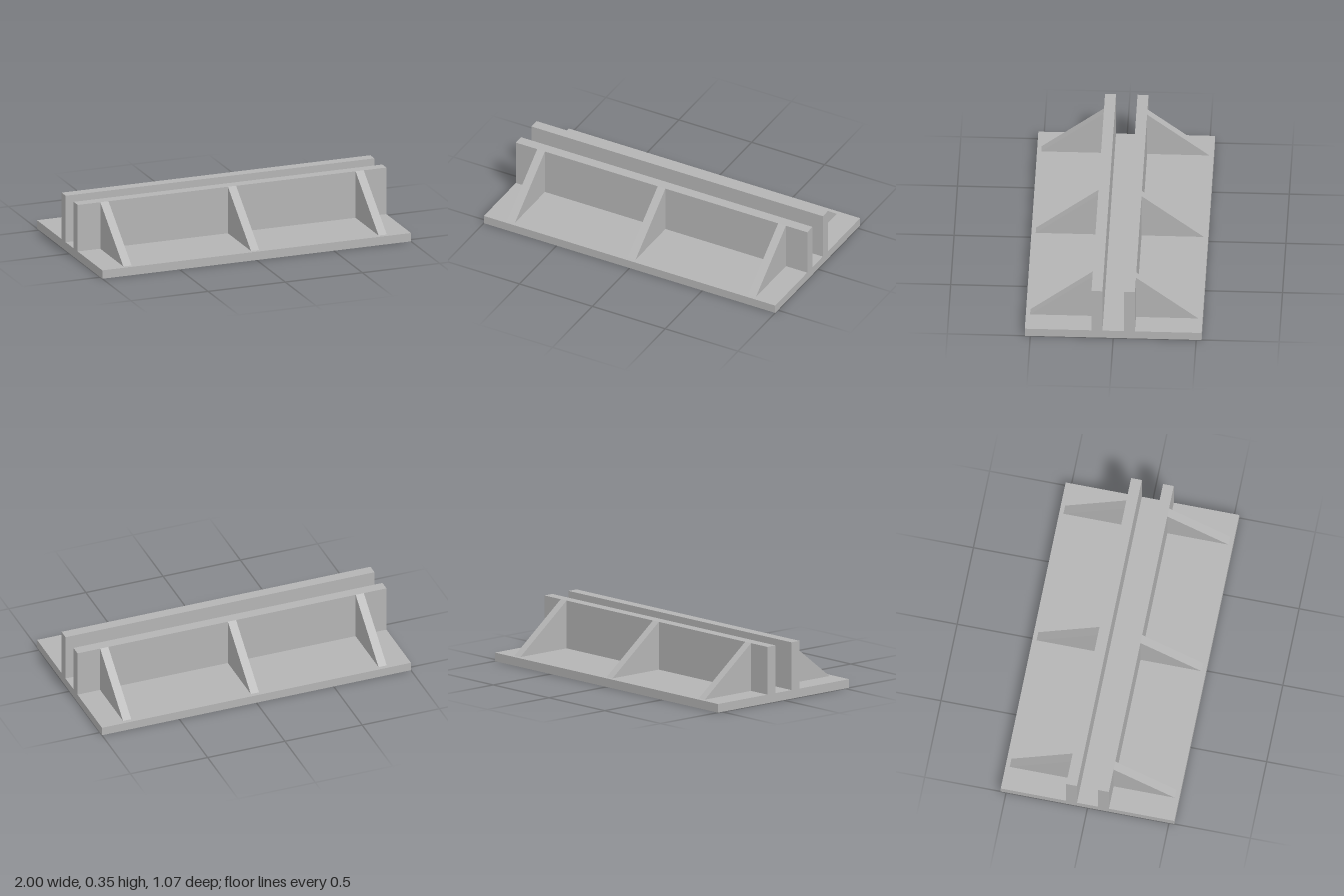
import * as THREE from 'three';

export function createModel() {
  const group = new THREE.Group();
  const grey = new THREE.MeshStandardMaterial({ color: 0xb4b4b4 });
  grey.name = 'plain grey';

  const baseTop = 0.053, top = 0.347;
  const wallInner = 0.065, wallOuter = 0.131, toe = 0.507;
  const gussetWidth = 0.053;

  const add = (name, geometry, x, y, z) => {
    const mesh = new THREE.Mesh(geometry, grey);
    mesh.name = name;
    mesh.position.set(x, y, z);
    group.add(mesh);
    return mesh;
  };

  // flat base plate
  add('basePlate', new THREE.BoxGeometry(2, baseTop, 1.066), 0, baseTop / 2, 0);

  // right-triangle gusset: profile drawn in x/y, extruded across its width
  const profile = new THREE.Shape([
    new THREE.Vector2(wallOuter, baseTop),
    new THREE.Vector2(toe, baseTop),
    new THREE.Vector2(wallOuter, top),
  ]);
  const gusset = new THREE.ExtrudeGeometry(profile, { depth: gussetWidth, bevelEnabled: false });
  gusset.translate(0, 0, -gussetWidth / 2);

  // two parallel walls with a channel between, each braced by three gussets
  for (const [side, s] of [['front', 1], ['back', -1]]) {
    add(side + 'Wall', new THREE.BoxGeometry(2, top - baseTop, wallOuter - wallInner),
      0, (top + baseTop) / 2, s * (wallInner + wallOuter) / 2);
    for (const x of [-0.827, 0, 0.827]) {
      add(side + 'Gusset', gusset, x, 0, 0).rotation.y = -s * Math.PI / 2;
    }
  }
  return group;
}
